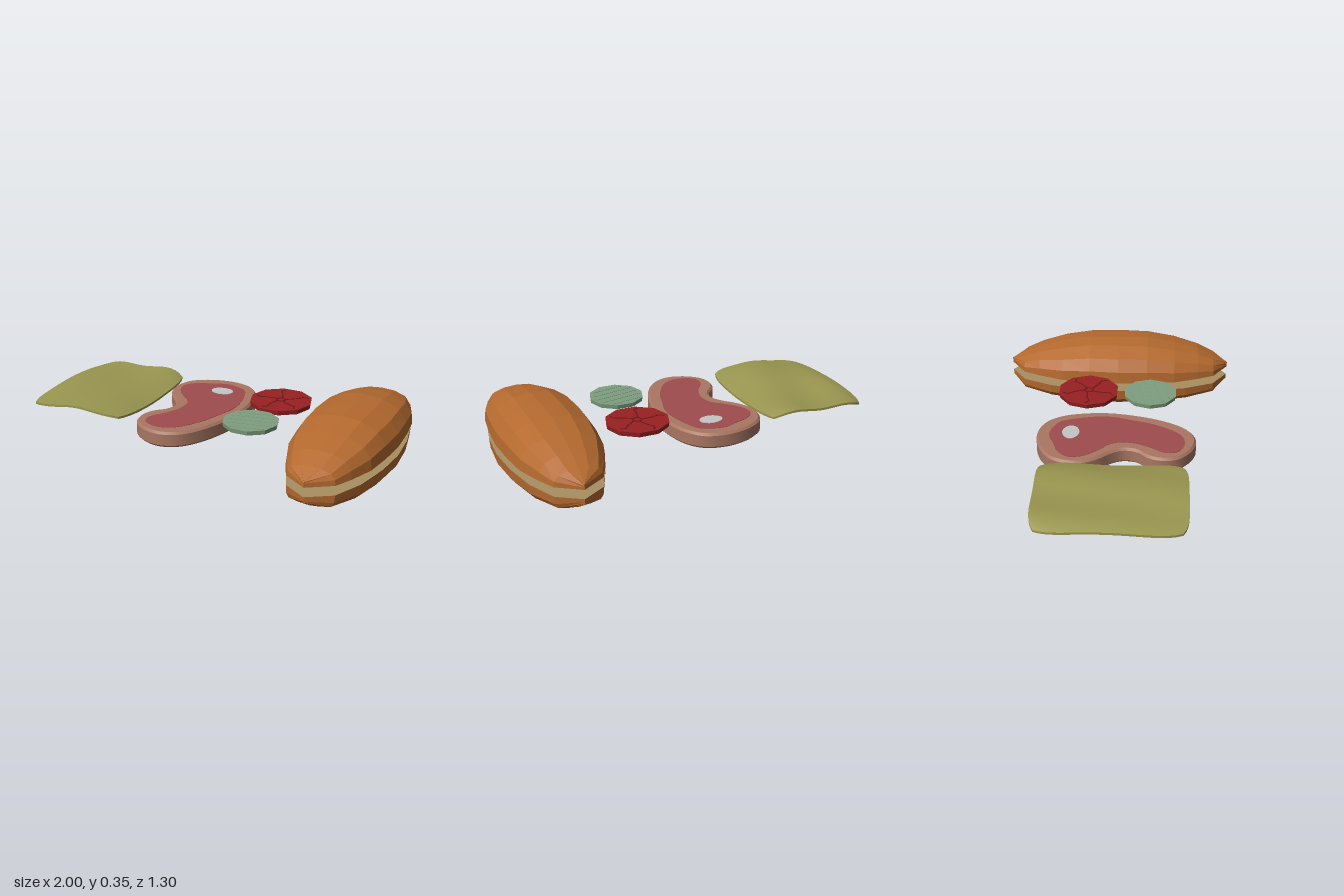
import * as THREE from 'three';
import { toCreasedNormals } from 'three/addons/utils/BufferGeometryUtils.js';

const paint = (name, color) => {
  const m = new THREE.MeshStandardMaterial({ color });
  m.name = name;
  return m;
};

export function createModel() {
  const crust = paint('crust', 0xb56a2f), crumb = paint('crumb', 0xa88f62);
  const fat = paint('fatRim', 0xa87662), meat = paint('meat', 0x9e4c4d), bone = paint('bone', 0xc6c6c6);
  const red = paint('tomatoRed', 0x982123), darkRed = paint('tomatoGroove', 0x701618);
  const green = paint('pickleGreen', 0x7f9f80), leaf = paint('leafGreen', 0x9a9650);

  const model = new THREE.Group();
  const add = (parent, name, geometry, material, x = 0, y = 0, z = 0) => {
    const mesh = new THREE.Mesh(geometry, material);
    mesh.name = name;
    mesh.position.set(x, y, z);
    parent.add(mesh);
    return mesh;
  };
  const group = (name) => {
    const g = new THREE.Group();
    g.name = name;
    model.add(g);
    return g;
  };

  // Bun half: faceted loft along z; stations are [z, half width, height], profile is [side, height]
  const bunHalf = (stations, profile, dir) => {
    const rows = [...stations.map(([z, w, h]) => [-z, w, h]), ...stations.slice(0, -1).reverse()];
    const ring = [...profile, ...profile.slice(0, -1).reverse().map(([u, v]) => [-u, v])];
    const n = ring.length, pos = [], skin = [], cut = [];
    for (const [z, w, h] of rows) for (const [u, v] of ring) pos.push(u * w, dir * v * h, z);
    for (let i = 0; i < rows.length - 1; i++) {
      for (let j = 0; j < n; j++) {
        const k = (j + 1) % n, a = i * n + j, b = i * n + k, c = b + n, d = a + n;
        const out = j === n - 1 ? cut : skin;
        if (dir > 0) out.push(a, b, c, a, c, d);
        else out.push(a, c, b, a, d, c);
      }
    }
    const g = new THREE.BufferGeometry();
    g.setAttribute('position', new THREE.Float32BufferAttribute(pos, 3));
    g.setIndex([...skin, ...cut]);
    g.addGroup(0, skin.length, 0);
    g.addGroup(skin.length, cut.length, 1);
    const flat = g.toNonIndexed();
    flat.computeVertexNormals();
    return flat;
  };
  const bun = group('bun');
  add(bun, 'topBun', bunHalf(
    [[0.65, 0, 0.03], [0.565, 0.125, 0.075], [0.47, 0.17, 0.118], [0.33, 0.22, 0.155], [0.17, 0.24, 0.183], [0, 0.25, 0.185]],
    [[1, 0], [0.97, 0.37], [0.8, 0.72], [0.42, 0.95], [0, 1]], 1), [crust, crumb], 0.75, 0.17, 0);
  add(bun, 'bottomBun', bunHalf(
    [[0.648, 0, 0.03], [0.565, 0.125, 0.08], [0.4, 0.195, 0.1], [0.2, 0.235, 0.112], [0, 0.25, 0.118]],
    [[1, 0], [0.98, 0.5], [0.87, 0.78], [0.45, 0.93], [0, 1]], -1), [crust, crumb], 0.75, 0.12, 0);

  // Steak: kidney slab with a red face on both sides and a bone on top
  const blob = (pts, count) => {
    const v = pts.map(([x, z]) => new THREE.Vector3(x, z, 0));
    const loop = new THREE.CatmullRomCurve3(v, true).getPoints(count).slice(0, -1);
    return new THREE.Shape(loop.map((p) => new THREE.Vector2(p.x, p.y)));
  };
  const slab = (shape, depth, bevel) => {
    const g = new THREE.ExtrudeGeometry(shape, {
      depth: depth - 2 * bevel, bevelEnabled: bevel > 0, bevelThickness: bevel,
      bevelSize: bevel, bevelOffset: -bevel, bevelSegments: 1,
    });
    g.translate(0, 0, bevel).rotateX(Math.PI / 2);
    return toCreasedNormals(g, 0.6);
  };
  const rim = blob([
    [-0.1, -0.405], [0, -0.375], [0.07, -0.29], [0.105, -0.17], [0.115, -0.03], [0.09, 0.13], [0.04, 0.28],
    [-0.03, 0.39], [-0.1, 0.435], [-0.17, 0.445], [-0.26, 0.415], [-0.33, 0.35], [-0.35, 0.28], [-0.33, 0.2],
    [-0.27, 0.13], [-0.26, 0.06], [-0.29, 0], [-0.35, -0.07], [-0.39, -0.15], [-0.395, -0.22], [-0.36, -0.31],
    [-0.28, -0.37], [-0.19, -0.4]], 70);
  const face = blob([
    [-0.14, -0.34], [-0.06, -0.325], [0, -0.29], [0.03, -0.22], [0.06, -0.1], [0.06, 0], [0.03, 0.1], [0, 0.2],
    [-0.06, 0.31], [-0.12, 0.37], [-0.2, 0.385], [-0.28, 0.345], [-0.29, 0.28], [-0.24, 0.2], [-0.2, 0.1],
    [-0.21, 0], [-0.28, -0.07], [-0.34, -0.15], [-0.35, -0.22], [-0.3, -0.28], [-0.22, -0.31]], 60);
  const steak = group('steak');
  add(steak, 'steakRim', slab(rim, 0.085, 0.012), fat, 0, 0.2, 0);
  add(steak, 'steakTopFace', slab(face, 0.004, 0), meat, 0, 0.202, 0);
  add(steak, 'steakBottomFace', slab(face, 0.004, 0), meat, 0, 0.117, 0);
  add(steak, 'steakBone', new THREE.CylinderGeometry(0.065, 0.065, 0.004, 14), bone, -0.11, 0.203, -0.225).scale.z = 0.72;

  // Ten-sided slices
  const slice = (r, h) => toCreasedNormals(
    new THREE.CylinderGeometry(r, r * 0.97, h, 10).rotateY(Math.PI / 2), 0.3);

  // Tomato slice with bent grooves and a hub ring
  const tomato = group('tomatoSlice');
  tomato.position.set(0.283, 0.232, -0.155);
  add(tomato, 'tomatoDisc', slice(0.172, 0.026), red);
  add(tomato, 'tomatoHub', new THREE.TorusGeometry(0.024, 0.005, 4, 10).rotateX(Math.PI / 2), darkRed, 0, 0.012, 0);
  for (let i = 0; i < 5; i++) {
    const a = -1.97 + i * Math.PI * 0.4;
    const path = [[0.028, 0.3], [0.09, 0.1], [0.125, 0], [0.15, 0.16]].map(
      ([r, t]) => new THREE.Vector2(r * Math.cos(a + t), r * Math.sin(a + t)));
    for (let k = 0; k < 3; k++) {
      const p = path[k], q = path[k + 1], len = p.distanceTo(q);
      const groove = add(tomato, 'tomatoGroove', new THREE.BoxGeometry(len, 0.004, 0.008), darkRed,
        (p.x + q.x) / 2, 0.0125, (p.y + q.y) / 2);
      groove.rotation.y = -Math.atan2(q.y - p.y, q.x - p.x);
    }
  }

  // Pickle slice with fine parallel ridges
  const pickle = group('pickleSlice');
  pickle.position.set(0.265, 0.237, 0.195);
  add(pickle, 'pickleDisc', slice(0.15, 0.024), green);
  for (let i = -2; i <= 2; i++) {
    const off = i * 0.048, len = 1.8 * Math.sqrt(0.14 ** 2 - off ** 2);
    const ridge = add(pickle, 'pickleRidge', new THREE.BoxGeometry(len, 0.003, 0.016), green,
      off * 0.2, 0.0125, off);
    ridge.rotation.y = 0.2;
  }

  // Wavy leaf: thin box with rounded corners and a rolling surface
  const sheet = new THREE.BoxGeometry(2, 0.012, 2, 18, 1, 20);
  const p = sheet.attributes.position;
  for (let i = 0; i < p.count; i++) {
    const u = p.getX(i), v = p.getZ(i);
    const wave = 0.218 - 0.026 * u ** 4 + 0.006 * Math.sin(5 * u + 1.5 * v) + 0.006 * Math.sin(3 * v - 2 * u);
    p.setXYZ(i, 0.3 * u * (1 - 0.1 * v ** 6), p.getY(i) + wave, 0.383 * v * (1 - 0.08 * u ** 6));
  }
  sheet.computeVertexNormals();
  add(model, 'leaf', sheet, leaf, -0.7, 0, 0.018);

  return model;
}
